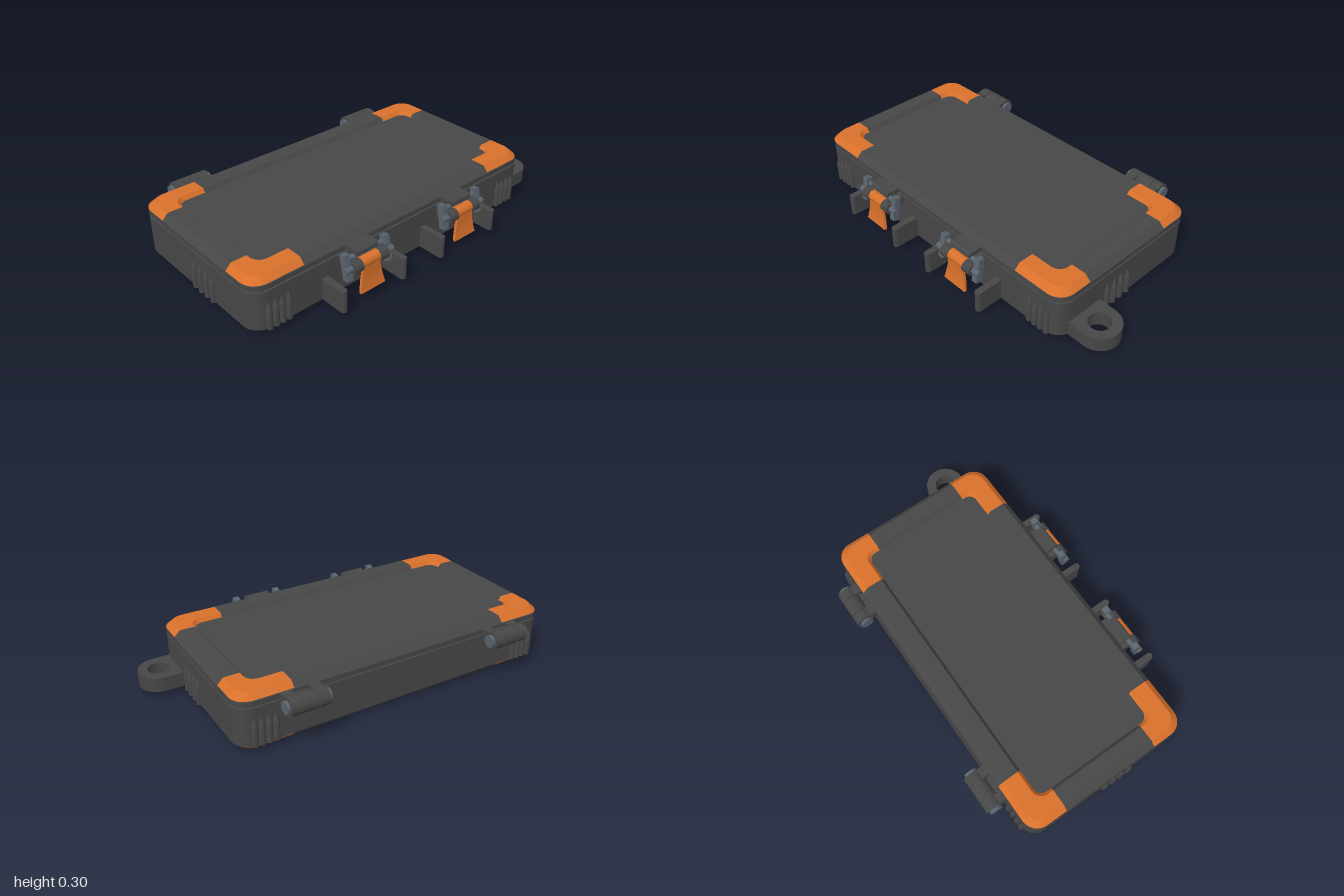
import * as THREE from 'three';
import { toCreasedNormals } from 'three/addons/utils/BufferGeometryUtils.js';

const material = (name, color) => {
  const m = new THREE.MeshStandardMaterial({ color });
  m.name = name;
  return m;
};

export function createModel() {
  const dark = material('charcoal plastic', 0x474747);
  const orange = material('orange rubber', 0xd9712b);
  const steel = material('blue grey steel', 0x59636d);
  const model = new THREE.Group();
  model.name = 'flatCase';

  // Case footprint and the lines where the corner colour stops
  const X = [-0.985, 0.8], Z = [-0.475, 0.445];
  const splitX = [-0.705, 0.515], splitZ = [-0.275, 0.255];

  const add = (parent, name, geometry, mat, x = 0, y = 0, z = 0) => {
    const mesh = new THREE.Mesh(geometry, mat);
    mesh.name = name;
    mesh.position.set(x, y, z);
    parent.add(mesh);
    return mesh;
  };
  const box = (parent, name, mat, w, h, d, x, y, z) =>
    add(parent, name, new THREE.BoxGeometry(w, h, d), mat, x, y, z);
  const rod = (parent, name, mat, r, length, x, y, z) =>
    add(parent, name, new THREE.CylinderGeometry(r, r, length, 24).rotateZ(Math.PI / 2), mat, x, y, z);

  // Rounded rectangle, counter-clockwise from above, 11 points per corner
  const STEPS = 8, PER = STEPS + 3;
  function ring([inset, y, r]) {
    const points = [];
    for (let k = 0; k < 4; k++) {
      const ix = k === 0 || k === 3 ? 1 : 0, iz = k < 2 ? 0 : 1;
      const sx = ix ? 1 : -1, sz = iz ? 1 : -1;
      const ex = X[ix] - sx * inset, ez = Z[iz] - sz * inset;
      const onSide = [ex, y, splitZ[iz]], onFace = [splitX[ix], y, ez];
      points.push(k % 2 ? onFace : onSide);
      for (let i = 0; i <= STEPS; i++) {
        const a = (k + i / STEPS) * Math.PI / 2;
        points.push([ex - sx * r + r * Math.cos(a), y, ez - sz * r - r * Math.sin(a)]);
      }
      points.push(k % 2 ? onSide : onFace);
    }
    return points;
  }

  // Skin rings of [inset, height, radius]; corners and sides form two material groups
  function loft(levels, cap) {
    const rings = levels.map(ring), sides = [], corners = [], n = PER * 4;
    for (let l = 0; l < rings.length - 1; l++) {
      for (let i = 0; i < n; i++) {
        const j = (i + 1) % n, lo = rings[l], hi = rings[l + 1];
        const target = i % PER === PER - 1 ? sides : corners;
        target.push(...lo[i], ...lo[j], ...hi[j], ...lo[i], ...hi[j], ...hi[i]);
      }
    }
    if (cap) {
      const edge = cap === 'top' ? rings[rings.length - 1] : rings[0];
      const centre = [(X[0] + X[1]) / 2, edge[0][1], (Z[0] + Z[1]) / 2];
      for (let i = 0; i < n; i++) {
        const p = edge[i], q = edge[(i + 1) % n];
        sides.push(...centre, ...(cap === 'top' ? p : q), ...(cap === 'top' ? q : p));
      }
    }
    let g = new THREE.BufferGeometry();
    g.setAttribute('position', new THREE.Float32BufferAttribute([...sides, ...corners], 3));
    g = toCreasedNormals(g, 0.4);
    g.clearGroups();
    g.addGroup(0, sides.length / 3, 0);
    g.addGroup(sides.length / 3, corners.length / 3, 1);
    return g;
  }

  // Shell with the seam groove, plus recessed top and bottom frames
  add(model, 'shell', loft([
    [0, 0.03, 0.085], [0, 0.23, 0.085], [0.01, 0.23, 0.075], [0.01, 0.24, 0.075],
    [0, 0.24, 0.085], [0, 0.265, 0.085], [0.007, 0.265, 0.078], [0.007, 0.272, 0.078],
  ]), [dark, dark]);
  add(model, 'lidFrame', loft([
    [0, 0.27, 0.085], [0.03, 0.3, 0.07], [0.113, 0.3, 0.055], [0.128, 0.28, 0.045],
  ], 'top'), [dark, orange]);
  add(model, 'baseFrame', loft([
    [0.128, 0.02, 0.045], [0.113, 0, 0.055], [0.03, 0, 0.07], [0, 0.03, 0.085],
  ], 'bottom'), [dark, orange]);

  // Pointed grip ribs on all four walls
  const ribShape = new THREE.LatheGeometry(
    [[0, 0], [0.016, 0], [0.016, 0.105], [0.004, 0.14], [0, 0.14]].map(p => new THREE.Vector2(...p)), 16);
  const ribGeometry = toCreasedNormals(ribShape, 0.5);
  for (let i = 0; i < 4; i++) {
    for (const z of Z) {
      for (const start of [-0.905, 0.612]) add(model, 'gripRib', ribGeometry, dark, start + i * 0.036, 0.03, z);
    }
    for (const x of X) add(model, 'gripRib', ribGeometry, dark, x, 0.03, -0.02 + i * 0.049);
  }

  // Lanyard eyelet
  const eye = new THREE.Shape();
  eye.moveTo(-0.1, -0.105);
  eye.lineTo(0, -0.105);
  eye.absarc(0, 0, 0.105, -Math.PI / 2, Math.PI / 2, false);
  eye.lineTo(-0.1, 0.105);
  eye.closePath();
  eye.holes.push(new THREE.Path().absarc(0, 0, 0.055, 0, Math.PI * 2, true));
  const eyeGeometry = new THREE.ExtrudeGeometry(eye, { depth: 0.077, bevelEnabled: false, curveSegments: 20 });
  add(model, 'eyelet', toCreasedNormals(eyeGeometry.rotateX(-Math.PI / 2), 0.5), dark, 0.893, 0.03, 0.28);

  // Guard fins with rounded noses
  for (const x of [-0.592, -0.223, 0.038, 0.407]) {
    box(model, 'guardFin', dark, 0.035, 0.115, 0.133, x, 0.0885, 0.506);
    add(model, 'guardFinNose', new THREE.CylinderGeometry(0.0175, 0.0175, 0.115, 16), dark, x, 0.0885, 0.572);
  }

  // Flared pull tab, narrow at the top and kicked out at the bottom
  const tab = new THREE.BoxGeometry(0.105, 0.155, 0.014, 1, 8, 1);
  const p = tab.attributes.position;
  for (let i = 0; i < p.count; i++) {
    const t = Math.max(0, (0.03 - p.getY(i)) / 0.1075);
    p.setX(i, p.getX(i) * (1 + 0.42 * t));
    p.setZ(i, p.getZ(i) + 0.012 * t * t);
  }
  tab.computeVertexNormals();

  for (const x of [-0.405, 0.225]) {
    const latch = new THREE.Group();
    latch.name = 'latch';
    latch.position.x = x;
    model.add(latch);
    // Hooked catch on the lid
    box(latch, 'catchPlate', dark, 0.135, 0.022, 0.065, 0, 0.257, 0.472);
    rod(latch, 'catchLip', dark, 0.016, 0.135, 0, 0.254, 0.508);
    // Pivot lugs and hub
    for (const s of [-1, 1]) {
      box(latch, 'pivotLug', dark, 0.035, 0.055, 0.09, s * 0.075, 0.202, 0.485);
      rod(latch, 'pivotBarrel', dark, 0.032, 0.05, s * 0.079, 0.2, 0.531);
      const arm = box(latch, 'bailArm', steel, 0.032, 0.13, 0.034, s * 0.121, 0.206, 0.516);
      arm.rotation.x = -0.2;
    }
    rod(latch, 'bailBar', steel, 0.013, 0.24, 0, 0.238, 0.505);
    rod(latch, 'pivotPin', steel, 0.017, 0.295, 0, 0.2, 0.531);
    rod(latch, 'tabHub', orange, 0.03, 0.105, 0, 0.203, 0.528);
    add(latch, 'pullTab', tab, orange, 0, 0.1375, 0.547);
  }

  // Rear hinges: three knuckles on a pin, each tied to the case
  for (const x of [-0.677, 0.489]) {
    const hinge = new THREE.Group();
    hinge.name = 'hinge';
    hinge.position.x = x;
    model.add(hinge);
    for (const [offset, width] of [[-0.072, 0.052], [0, 0.084], [0.072, 0.052]]) {
      rod(hinge, 'hingeKnuckle', dark, 0.047, width, offset, 0.23, -0.543);
      box(hinge, 'hingeLug', dark, width, 0.05, 0.075, offset, offset ? 0.243 : 0.222, -0.503);
    }
    rod(hinge, 'hingePin', steel, 0.033, 0.228, 0, 0.23, -0.543);
  }
  return model;
}
